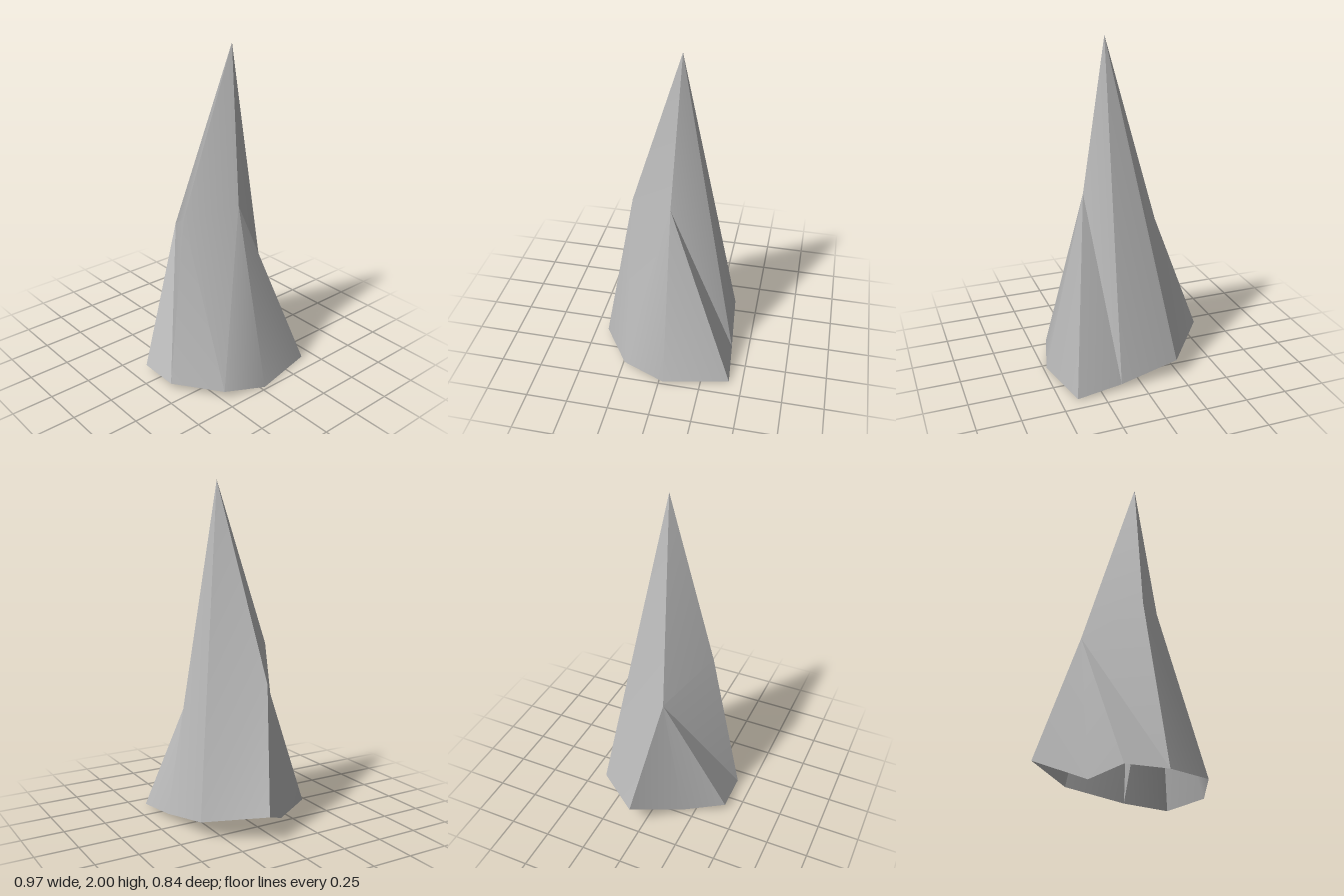
import * as THREE from 'three';
import { toCreasedNormals } from 'three/addons/utils/BufferGeometryUtils.js';

// Named corners of the rock spire
const corners = {
  tip: [0.107, 2, -0.065],
  // shoulders partway up
  shoulderRight: [-0.255, 0.85, 0.06],
  shoulderFront: [0.058, 1.03, 0.24],
  shoulderLeft: [0.228, 1.1, -0.022],
  // ragged rim around the open base
  r0: [-0.485, 0.157, -0.065],
  r1: [-0.23, 0.015, 0.18],
  r2: [-0.107, 0.045, 0.418],
  r3: [0.135, 0.038, 0.413],
  r4: [0.411, 0.048, 0.231],
  r5: [0.482, 0.004, -0.026],
  r6: [0.403, 0.01, -0.42],
  r7: [0.128, 0.034, -0.397],
  r8: [-0.233, 0.1, -0.364],
};

// Facets, counter-clockwise from outside
const facets = [
  'r0 r1 shoulderRight', 'r1 r2 shoulderRight', 'r2 r3 shoulderRight',
  'r3 shoulderFront shoulderRight', 'shoulderRight shoulderFront tip',
  'r3 r4 shoulderFront', 'r4 shoulderLeft shoulderFront', 'shoulderFront shoulderLeft tip',
  'r4 r5 shoulderLeft', 'r5 r6 shoulderLeft', 'r6 r7 shoulderLeft', 'shoulderLeft r7 tip',
  'r7 r8 tip', 'r8 shoulderRight tip', 'r8 r0 shoulderRight',
];

export function createModel() {
  const group = new THREE.Group();
  group.name = 'rockSpire';

  const stone = new THREE.MeshStandardMaterial({ color: 0xb8b8b8, side: THREE.DoubleSide });
  stone.name = 'grey stone';

  const names = Object.keys(corners);
  const geometry = new THREE.BufferGeometry();
  geometry.setAttribute('position', new THREE.Float32BufferAttribute(Object.values(corners).flat(), 3));
  geometry.setIndex(facets.flatMap((f) => f.split(' ').map((n) => names.indexOf(n))));

  // Shallow folds stay soft, strong ridges stay sharp
  const spire = new THREE.Mesh(toCreasedNormals(geometry, Math.PI / 6), stone);
  spire.name = 'spire';
  group.add(spire);
  return group;
}
